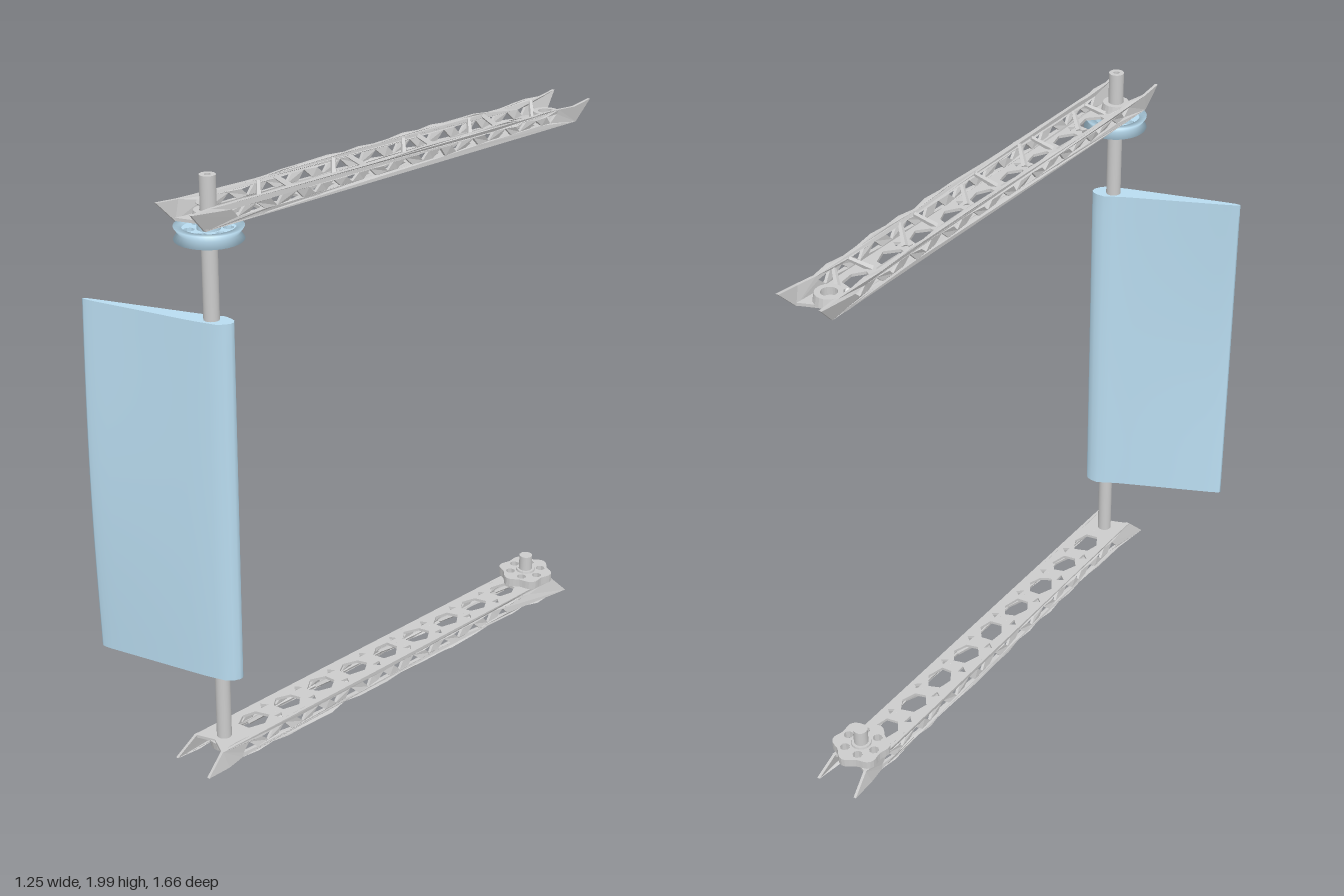
import * as THREE from 'three';

const grey = new THREE.MeshStandardMaterial({ color: 0xcccccc, flatShading: true, side: THREE.DoubleSide });
const greySmooth = new THREE.MeshStandardMaterial({ color: 0xcccccc });
const blue = new THREE.MeshStandardMaterial({ color: 0xb9dcf0 });
const blueOpen = new THREE.MeshStandardMaterial({ color: 0xb9dcf0, side: THREE.DoubleSide });

let seed = 7;
const jitter = (a) => {
  seed = (seed * 16807) % 2147483647;
  return a * (2 * seed / 2147483647 - 1);
};

function add(parent, name, geometry, material, x = 0, y = 0, z = 0) {
  const mesh = new THREE.Mesh(geometry, material);
  mesh.name = name;
  mesh.position.set(x, y, z);
  parent.add(mesh);
  return mesh;
}

// Irregular polygon used for the lightening holes
function polygon(cx, cy, rx, ry, sides, turn, wobble = 0) {
  const pts = [];
  for (let i = 0; i < sides; i++) {
    const a = turn - (i / sides) * Math.PI * 2;
    pts.push(new THREE.Vector2(cx + rx * Math.cos(a) + jitter(wobble), cy + ry * Math.sin(a) + jitter(wobble)));
  }
  return new THREE.Path(pts);
}

const extrude = (shape, depth) =>
  new THREE.ExtrudeGeometry(shape, { depth, bevelEnabled: false, curveSegments: 24 });

const STEP = 0.155, PIVOT = 0.75;

// Perforated floor of the channel
function webGeometry() {
  const pts = [];
  for (let i = 0; i <= 22; i++) pts.push(new THREE.Vector2(-0.82 + i * 1.64 / 22, -0.066 + jitter(0.005)));
  pts.push(new THREE.Vector2(0.79, 0));
  for (let i = 22; i >= 0; i--) pts.push(new THREE.Vector2(-0.82 + i * 1.64 / 22, 0.066 + jitter(0.005)));
  pts.push(new THREE.Vector2(-0.79, 0));
  const shape = new THREE.Shape(pts);
  for (let k = -4; k <= 4; k++) {
    shape.holes.push(polygon(k * STEP, 0, 0.055, 0.042, 6, 0.3, 0.006));
    if (k < 4) for (const s of [-1, 1])
      shape.holes.push(polygon((k + 0.5) * STEP, s * 0.04, 0.018, 0.015, 3, s * Math.PI / 2, 0.002));
  }
  return extrude(shape, 0.01).rotateX(-Math.PI / 2);
}

// Side wall with triangular cut-outs, pointed ends and a slight outward lean
function flangeGeometry() {
  const pts = [new THREE.Vector2(-0.82, 0), new THREE.Vector2(0.82, 0), new THREE.Vector2(0.885, 0.068)];
  for (let i = 24; i >= 0; i--) pts.push(new THREE.Vector2(-0.8 + i * 1.6 / 24, 0.063 + jitter(0.006)));
  pts.push(new THREE.Vector2(-0.885, 0.068));
  const shape = new THREE.Shape(pts);
  for (let k = -9; k <= 9; k++)
    shape.holes.push(polygon(k * STEP / 2, k % 2 ? 0.036 : 0.026, 0.032, 0.018, 3, k % 2 ? -Math.PI / 2 : Math.PI / 2, 0.003));
  const g = extrude(shape, 0.01), p = g.attributes.position;
  for (let i = 0; i < p.count; i++) {
    const u = p.getX(i), h = p.getY(i);
    const flare = Math.max(0, Math.abs(u) - 0.7) * 0.05;
    p.setZ(i, p.getZ(i) + 0.056 + 0.13 * h + flare + 0.004 * Math.sin(u * 41));
  }
  g.computeVertexNormals();
  return g;
}

function strut(parent, a, b, r) {
  const d = b.clone().sub(a);
  const mesh = add(parent, 'latticeStrut', new THREE.CylinderGeometry(r * 0.7, r, d.length(), 5), grey);
  mesh.position.copy(a).addScaledVector(d, 0.5);
  mesh.quaternion.setFromUnitVectors(new THREE.Vector3(0, 1, 0), d.normalize());
}

// Channel beam: floor at h = 0, open towards +h, running along local x
function beam(name) {
  const g = new THREE.Group();
  g.name = name;
  add(g, 'channelFloor', webGeometry(), grey);
  add(g, 'sideWall', flangeGeometry(), grey);
  add(g, 'sideWall', flangeGeometry(), grey).rotation.y = Math.PI;
  for (let k = -5; k < 5; k++) for (const s of [-1, 1]) {
    const u = (k + 0.5) * STEP, side = k % 2 ? s : -s;
    strut(g, new THREE.Vector3(u, 0.008, s * 0.012),
      new THREE.Vector3(u + side * 0.045, 0.05 + jitter(0.008), s * 0.063), 0.011);
  }
  // Ring bosses at the pivots
  const ring = [[0.026, 0.0], [0.05, 0.0], [0.044, 0.03], [0.026, 0.03], [0.026, 0]];
  for (const s of [-1, 1])
    add(g, 'pivotBoss', new THREE.LatheGeometry(ring.map(p => new THREE.Vector2(...p)), 20), grey, s * PIVOT, 0.006, 0);
  return g;
}

// Disc with a ring of holes around its hub
function spokedDisc(radius, depth, lobes) {
  const pts = [];
  for (let i = 0; i < 48; i++) {
    const a = i / 48 * Math.PI * 2, r = radius * (1 - lobes + lobes * Math.cos(6 * a));
    pts.push(new THREE.Vector2(r * Math.cos(a), r * Math.sin(a)));
  }
  const shape = new THREE.Shape(pts);
  for (let i = 0; i < 6; i++) {
    const a = (i + 0.5) * Math.PI / 3;
    shape.holes.push(polygon(0.058 * Math.cos(a), 0.058 * Math.sin(a), 0.017, 0.017, 8, 0));
  }
  return extrude(shape, depth).rotateX(-Math.PI / 2);
}

// Blade: teardrop section lofted upwards, its thin edge bowed at mid height
function bladeGeometry() {
  const y0 = 0.315, y1 = 1.55, rows = 16, n = 32;
  const pos = [], idx = [];
  const section = (t) => {
    const bow = 0.02 * Math.sin(Math.PI * t), pts = [];
    for (let i = 0; i < n; i++) {
      const a = i / n * Math.PI * 2, c = (1 + Math.cos(a)) / 2;
      const x = -0.63 + 0.515 * c;
      const half = Math.sin(a) * (0.014 + 0.058 * c);
      const thick = Math.sign(half) * Math.min(Math.abs(half), 0.006 + 0.034 * c);
      pts.push([x, y0 + (y1 - y0) * t, 0.642 + 0.03 * Math.min(1, c * 1.3) + bow * (1 - c) + thick * 0.97]);
    }
    return pts;
  };
  for (let j = 0; j <= rows; j++) section(j / rows).forEach(p => pos.push(...p));
  for (let j = 0; j < rows; j++) for (let i = 0; i < n; i++) {
    const a = j * n + i, b = j * n + (i + 1) % n;
    idx.push(a, a + n, b, b, a + n, b + n);
  }
  // End caps with their own vertices so the rims stay sharp
  for (const t of [0, 1]) {
    const base = pos.length / 3;
    section(t).forEach(p => pos.push(...p));
    for (let i = 1; i < n - 1; i++)
      t ? idx.push(base, base + i + 1, base + i) : idx.push(base, base + i, base + i + 1);
  }
  const g = new THREE.BufferGeometry();
  g.setAttribute('position', new THREE.Float32BufferAttribute(pos, 3));
  g.setIndex(idx);
  g.computeVertexNormals();
  return g;
}

export function createModel() {
  const model = new THREE.Group();
  model.name = 'bladeFrame';
  const heading = Math.atan2(2, 1);

  // Upper beam opens upwards, lower beam opens downwards
  for (const [name, y, flip] of [['upperBeam', 1.858, 0], ['lowerBeam', 0.078, Math.PI]]) {
    const holder = new THREE.Group();
    holder.name = name + 'Mount';
    holder.position.set(0.147, y, 0);
    holder.rotation.y = heading;
    const b = beam(name);
    b.rotation.x = flip;
    holder.add(b);
    model.add(holder);
  }

  // Hollow shaft through both beams
  const rx = -0.188, rz = 0.67;
  const tube = [[0.01, 0.03], [0.025, 0.03], [0.025, 0.03], [0.025, 2], [0.025, 2], [0.01, 2], [0.01, 2], [0.01, 0.03]];
  add(model, 'shaft', new THREE.LatheGeometry(tube.map(p => new THREE.Vector2(...p)), 24), greySmooth, rx, 0, rz);

  add(model, 'blade', bladeGeometry(), blueOpen);

  // Grooved pulley under the upper beam
  const pulley = new THREE.Group();
  pulley.name = 'pulley';
  pulley.position.set(rx, 1.805, rz);
  const rim = [[0.082, 0], [0.106, 0], [0.092, 0.02], [0.106, 0.04], [0.082, 0.04], [0.082, 0]];
  add(pulley, 'rim', new THREE.LatheGeometry(rim.map(p => new THREE.Vector2(...p)), 40), blueOpen);
  add(pulley, 'spokedWeb', spokedDisc(0.088, 0.02, 0), blue, 0, 0.01, 0);
  add(pulley, 'hub', new THREE.CylinderGeometry(0.036, 0.036, 0.056, 24), blue, 0, 0.025, 0);
  model.add(pulley);

  // Drive disc and stub pin at the far end of the lower beam
  const drive = new THREE.Group();
  drive.name = 'driveHub';
  drive.position.set(0.482, 0.078, -0.67);
  add(drive, 'disc', spokedDisc(0.1, 0.03, 0.08), grey, 0, 0.008, 0);
  add(drive, 'collar', new THREE.CylinderGeometry(0.034, 0.045, 0.05, 16), grey, 0, 0.02, 0);
  add(drive, 'pin', new THREE.CylinderGeometry(0.024, 0.026, 0.1, 16), greySmooth, 0, 0.05, 0);
  model.add(drive);

  return model;
}
